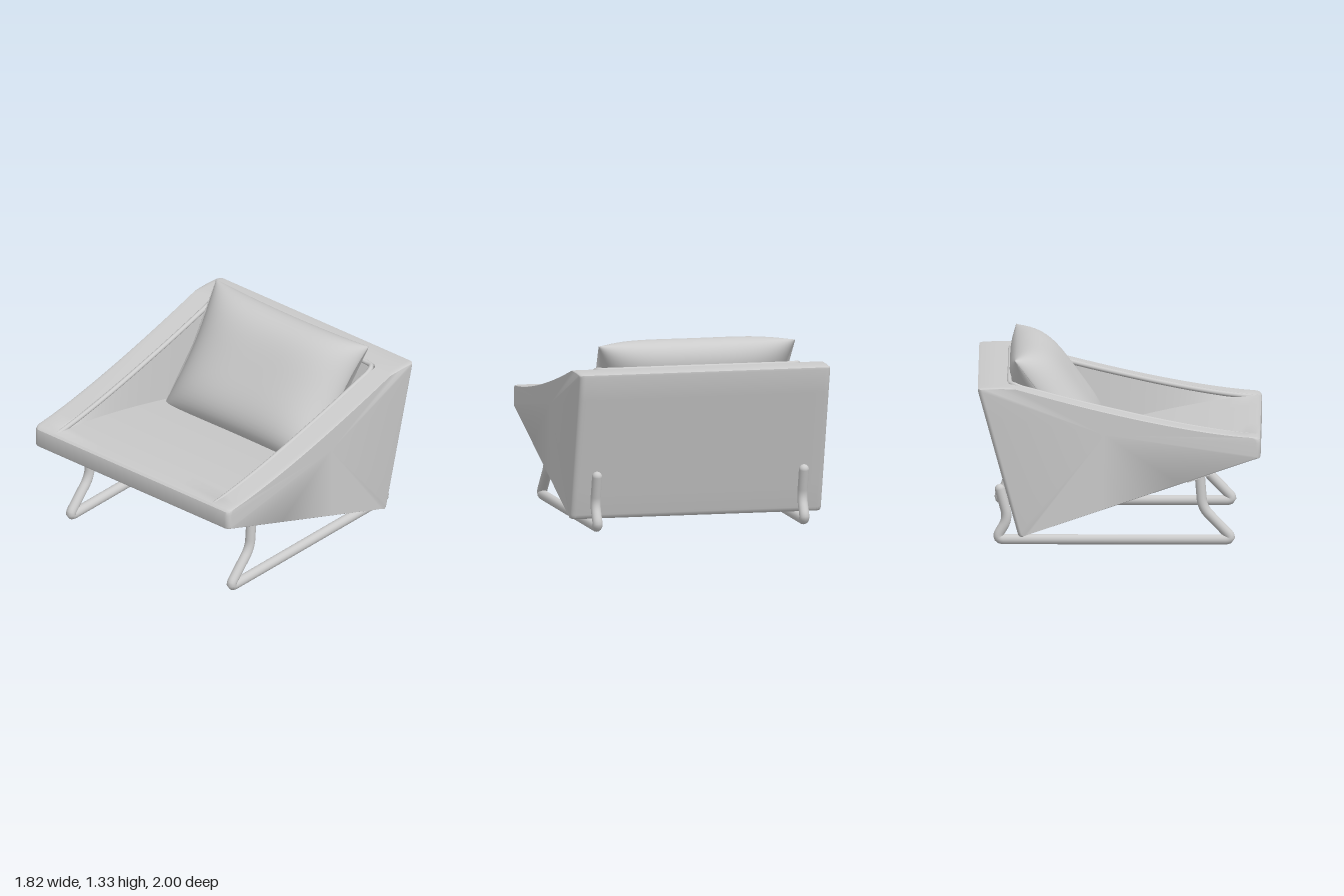
import * as THREE from 'three';
import { toCreasedNormals, mergeVertices } from 'three/addons/utils/BufferGeometryUtils.js';

const V = (x, y, z) => new THREE.Vector3(x, y, z);
const material = new THREE.MeshStandardMaterial({ color: 0xcccccc });

function mesh(name, geometry) {
  const m = new THREE.Mesh(geometry, material);
  m.name = name;
  return m;
}

// Skin over closed loops ordered by rising x, with fan caps on both ends
function loft(sections) {
  const n = sections[0].length, pos = [], idx = [];
  for (const s of sections) for (const p of s) pos.push(p.x, p.y, p.z);
  for (let i = 0; i < sections.length - 1; i++) {
    for (let j = 0; j < n; j++) {
      const k = (j + 1) % n;
      const a = i * n + j, b = i * n + k, c = b + n, d = a + n;
      idx.push(a, d, b, d, c, b);
    }
  }
  for (const end of [0, sections.length - 1]) {
    const centre = sections[end].reduce((s, p) => s.add(p), V(0, 0, 0)).divideScalar(n);
    const c = pos.length / 3;
    pos.push(centre.x, centre.y, centre.z);
    for (let j = 0; j < n; j++) {
      const a = end * n + j, b = end * n + (j + 1) % n;
      if (end) idx.push(c, b, a); else idx.push(c, a, b);
    }
  }
  const g = new THREE.BufferGeometry();
  g.setAttribute('position', new THREE.Float32BufferAttribute(pos, 3));
  g.setIndex(idx);
  return g;
}

// Heights of the arm top and of the seat along z
const armY = z => 0.8 + Math.min(0.355, 0.365 * Math.pow((1 - z) / 1.8, 1.4));
const seatY = z => 0.8 - 0.18 * Math.pow(1 - z, 1.4);

// Side outline of the shell; the hollow one follows the seat and inner back
function outline(hollow) {
  const pts = [[0.995, 0.652], [1, 0.665], [1, 0.76], [0.995, 0.785], [0.98, 0.798]];
  for (let i = 0; i <= 24; i++) {
    const z = 0.96 - (1.54 * i) / 24;
    pts.push([z, hollow ? seatY(z) : armY(z)]);
  }
  const foot = seatY(-0.58);
  for (let i = 1; i <= 8; i++) {
    const z = -0.58 - (0.2 * i) / 8;
    pts.push([z, hollow ? foot + ((armY(-0.78) - foot) * i) / 8 : armY(z)]);
  }
  pts.push([-0.88, 1.155], [-0.98, 1.15], [-0.997, 1.145], [-0.997, 1.13]);
  for (let i = 1; i < 6; i++) pts.push([-0.997 + 0.28 * i / 6, 1.13 - 1.02 * i / 6]);
  pts.push([-0.717, 0.11], [-0.71, 0.09], [-0.695, 0.08], [-0.67, 0.09]);
  for (let i = 1; i < 6; i++) pts.push([-0.67 + 1.665 * i / 6, 0.09 + 0.562 * i / 6]);
  return pts;
}

function shell() {
  const solid = outline(false), hollow = outline(true);
  const section = (pts, x, inset = 0) =>
    pts.map(([z, y]) => V(x, y - (y - 0.7) * inset * 0.5, z * (1 - inset)));
  const half = [];
  // rounded outer edge
  for (let i = 0; i <= 5; i++) {
    const a = (i / 5) * Math.PI / 2;
    half.push([solid, 0.912 - 0.04 * (1 - Math.cos(a)), 0.035 * (1 - Math.sin(a))]);
  }
  half.push([solid, 0.755, 0], [hollow, 0.725, 0], [hollow, 0.35, 0]);
  const left = half.map(([p, x, d]) => section(p, x, d));
  const right = half.map(([p, x, d]) => section(p, -x, d));
  return toCreasedNormals(loft([...right, section(hollow, 0), ...left.reverse()]), 0.65);
}

// Soft edge running along both arms and across the back
function piping() {
  const pts = [];
  for (let i = 0; i <= 16; i++) {
    const z = 0.97 - (1.67 * i) / 16;
    pts.push(V(0.738, armY(z) - 0.008 - 0.012 * Math.max(0, z), z));
  }
  pts.push(V(0.728, 1.147, -0.745), V(0.7, 1.147, -0.768), V(0.64, 1.147, -0.775));
  const mirrored = pts.map(p => V(-p.x, p.y, p.z)).reverse();
  const curve = new THREE.CatmullRomCurve3([...pts, V(0, 1.147, -0.775), ...mirrored]);
  return new THREE.TubeGeometry(curve, 180, 0.018, 10);
}

// Plump cushion with pinched corners and hollowed sides
function cushion() {
  const sections = [], nu = 40, nv = 56;
  for (let i = 0; i <= nu; i++) {
    const u = -Math.cos((i / nu) * Math.PI);
    const across = Math.pow(Math.max(0, 1 - u ** 4), 0.6);
    const loop = [];
    for (let j = 0; j < nv; j++) {
      const a = (j / nv) * Math.PI * 2, v = Math.cos(a);
      const thick = across * Math.pow(Math.max(0, 1 - v ** 4), 0.55);
      const n = Math.sin(a) > 0 ? -0.17 * thick : 0.21 * thick;
      const x = 0.715 * u * (1 - 0.08 * (1 - v * v));
      const t = 0.485 * v * (1 - 0.04 * (1 - u * u));
      loop.push(V(x, 0.92 + 0.81 * t + 0.59 * n, -0.45 - 0.59 * t + 0.81 * n));
    }
    sections.push(loop);
  }
  const g = mergeVertices(loft(sections), 1e-4);
  g.computeVertexNormals();
  return g;
}

// Path of straight runs joined by rounded bends
function bentPath(points, radius) {
  const path = new THREE.CurvePath();
  let from = points[0];
  for (let i = 1; i < points.length - 1; i++) {
    const p = points[i];
    const toward = q => p.clone().add(q.clone().sub(p).setLength(radius));
    const a = toward(points[i - 1]), b = toward(points[i + 1]);
    path.add(new THREE.LineCurve3(from, a));
    path.add(new THREE.QuadraticBezierCurve3(a, p, b));
    from = b;
  }
  path.add(new THREE.LineCurve3(from, points[points.length - 1]));
  return path;
}

function runner(x) {
  const g = new THREE.Group();
  const pts = [[0.5, 0.57], [0.27, 0.588], [0.04, 0.81], [0.04, -0.875], [0.19, -0.785], [0.4, -0.842]]
    .map(([y, z]) => V(0, y, z));
  g.add(mesh('bentTube', new THREE.TubeGeometry(bentPath(pts, 0.065), 200, 0.036, 16)));
  const tip = mesh('tubeEnd', new THREE.SphereGeometry(0.036, 16, 12));
  tip.position.copy(pts[5]);
  const plate = mesh('mountingPlate', new THREE.BoxGeometry(0.165, 0.016, 0.17));
  plate.position.set(0, 0.496, 0.56);
  plate.rotation.x = -0.325;
  g.add(tip, plate);
  g.position.x = x;
  return g;
}

export function createModel() {
  const model = new THREE.Group();
  model.name = 'armchair';
  model.add(mesh('seatShell', shell()), mesh('innerPiping', piping()), mesh('backCushion', cushion()));
  for (const [name, x] of [['leftRunner', 0.752], ['rightRunner', -0.752]]) {
    const r = runner(x);
    r.name = name;
    model.add(r);
  }
  return model;
}
